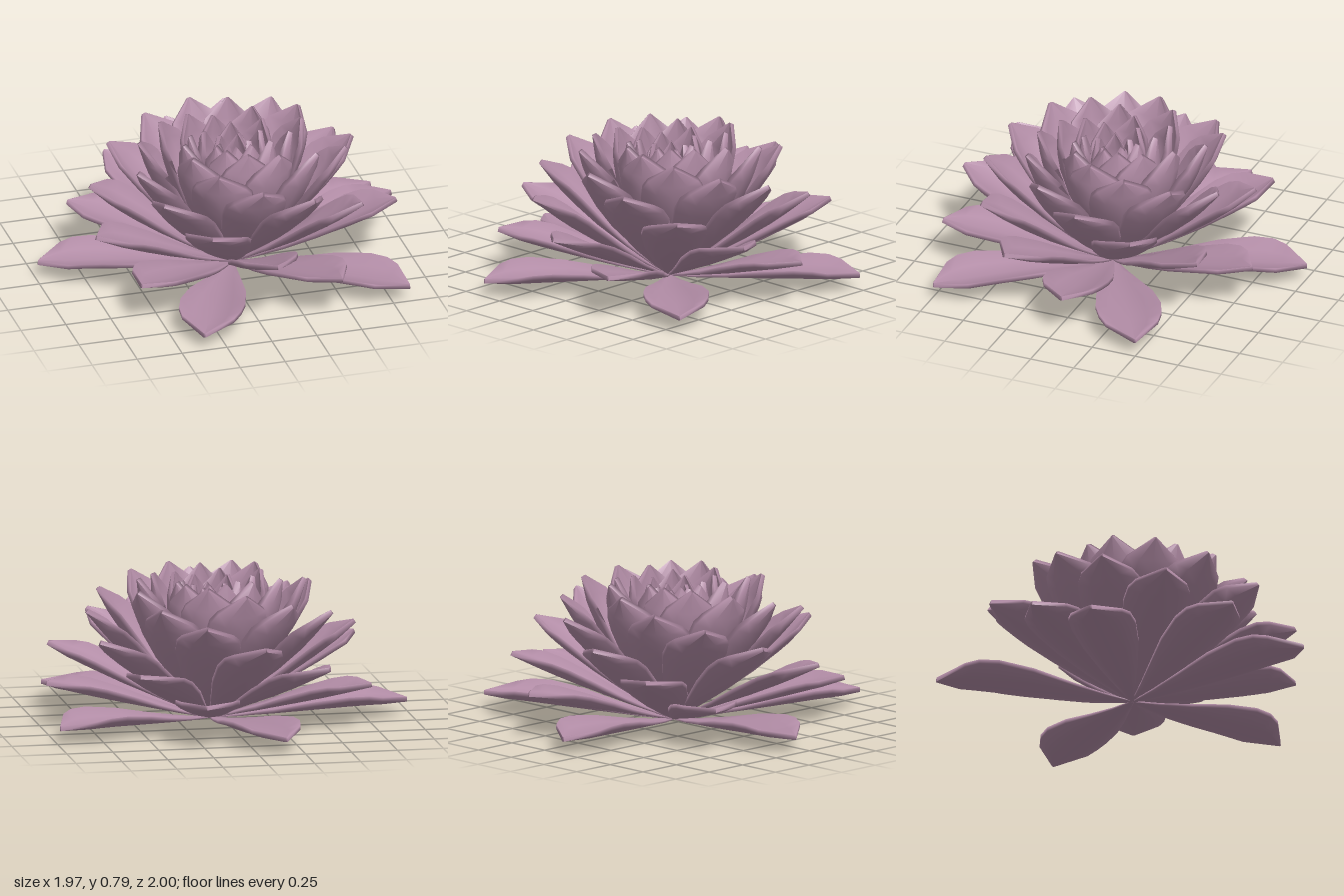
import * as THREE from 'three';

// petal outline: [fraction of length, fraction of half width]
const OUTLINE = [[0, 0.04], [0.15, 0.28], [0.32, 0.56], [0.52, 0.86], [0.7, 1], [0.8, 0.96], [0.87, 0.8], [1, 0.03]];
const ACROSS = [-1, -0.55, 0, 0.55, 1];

// rings from outside in: [tip radius, tip height, half width, cup depth, outward bulge]
const RINGS = [
  [1.055, 0.07, 0.175, 0.06, 0],
  [0.915, 0.23, 0.172, 0.05, 0.01],
  [0.88, 0.375, 0.175, 0.055, 0.015],
  [0.78, 0.505, 0.175, 0.06, 0.03],
  [0.695, 0.615, 0.175, 0.065, 0.04],
  [0.615, 0.685, 0.172, 0.07, 0.055],
  [0.515, 0.745, 0.168, 0.08, 0.075],
  [0.41, 0.775, 0.155, 0.08, 0.085],
  [0.32, 0.775, 0.135, 0.08, 0.09],
  [0.24, 0.765, 0.115, 0.075, 0.09],
  [0.17, 0.75, 0.095, 0.065, 0.085],
  [0.1, 0.72, 0.08, 0.055, 0.075],
];

// cupped petal of even thickness with softly shaded rims, running along +x
// with its inner face towards +y
function petalGeometry(length, halfWidth, cup, bulge) {
  const pos = [], index = [], loop = ACROSS.length * 2;
  for (const [t, w] of OUTLINE) {
    const base = -bulge * Math.sin(Math.PI * t ** 1.3);
    const thick = 0.006 + 0.018 * Math.min(1, 2 * t);
    const point = (s, lift) => pos.push(t * length, base + cup * (s * w) ** 2 + lift, s * w * halfWidth);
    for (const s of ACROSS) point(s, thick);
    for (const s of [...ACROSS].reverse()) point(s, 0);
  }
  for (let i = 0; i < OUTLINE.length - 1; i++) {
    for (let k = 0; k < loop; k++) {
      const a = i * loop + k, b = i * loop + (k + 1) % loop;
      index.push(a, b, a + loop, b, b + loop, a + loop);
    }
  }
  // close the tip
  const tip = (OUTLINE.length - 1) * loop;
  for (let k = 1; k < loop - 1; k++) index.push(tip, tip + k, tip + k + 1);

  const g = new THREE.BufferGeometry();
  g.setAttribute('position', new THREE.Float32BufferAttribute(pos, 3));
  g.setIndex(index);
  g.computeVertexNormals();
  return g;
}

export function createModel() {
  const flower = new THREE.Group();
  flower.name = 'lotusFlower';
  const mauve = new THREE.MeshStandardMaterial({ color: 0xb48ea8 });
  mauve.name = 'mauve petal';

  // five petals to a ring, each ring turned 24 degrees from the last
  RINGS.forEach(([radius, height, halfWidth, cup, bulge], r) => {
    const ring = new THREE.Group();
    ring.name = `petalRing${r + 1}`;
    const geometry = petalGeometry(Math.hypot(radius, height), halfWidth, cup, bulge);
    for (let k = 0; k < 5; k++) {
      const petal = new THREE.Mesh(geometry, mauve);
      petal.name = 'petal';
      const angle = THREE.MathUtils.degToRad(-29.5 + 24 * r + 72 * k);
      petal.rotation.set(0, -angle, Math.atan2(height, radius));
      ring.add(petal);
    }
    flower.add(ring);
  });
  flower.position.set(0.065, 0.003, 0.03);

  const model = new THREE.Group();
  model.name = 'lotus';
  model.add(flower);
  return model;
}
